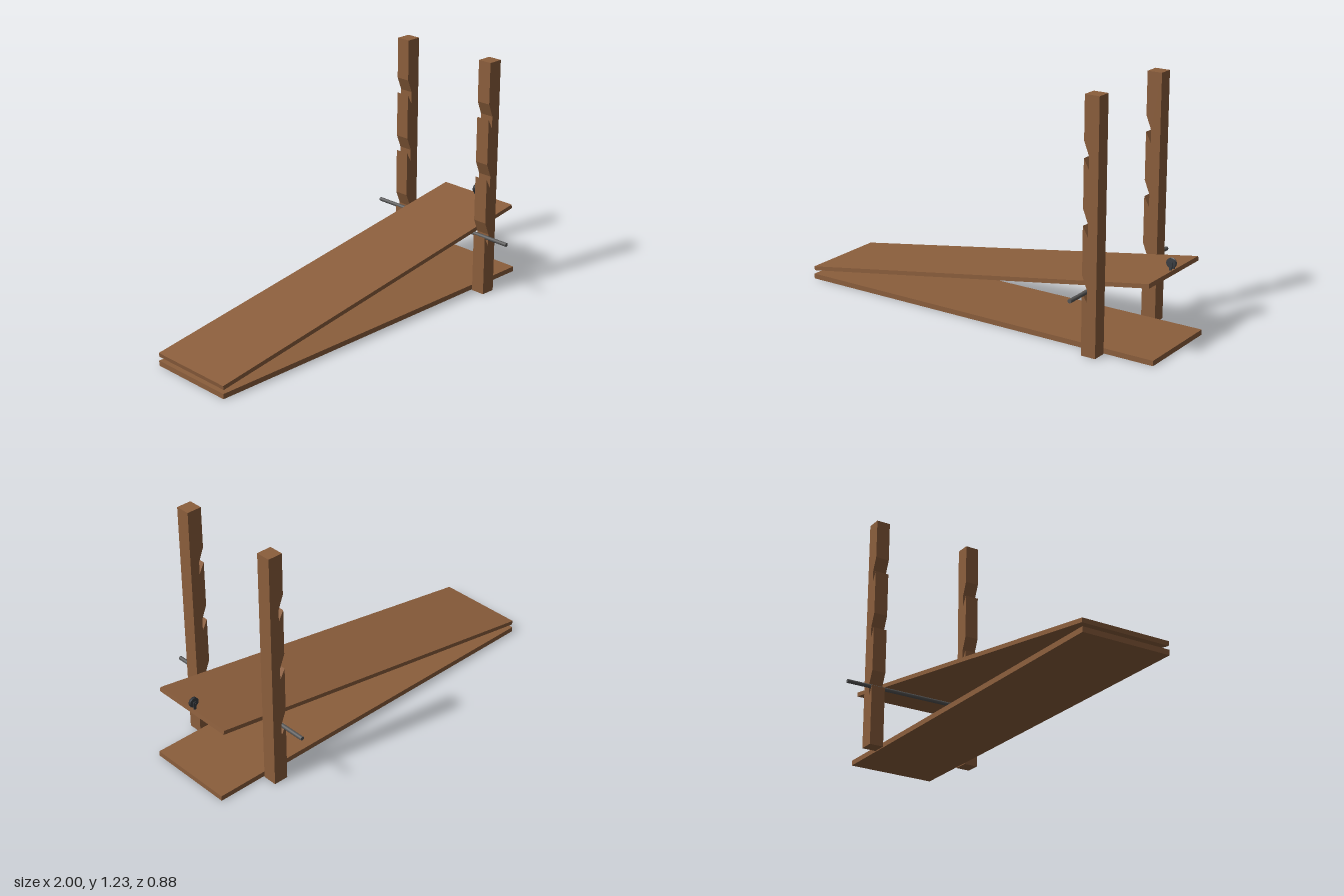
import * as THREE from 'three';

const wood = new THREE.MeshStandardMaterial({ color: 0x8b5e3c });
wood.name = 'wood';
const steel = new THREE.MeshStandardMaterial({ color: 0x555555 });
steel.name = 'steel';
const darkMetal = new THREE.MeshStandardMaterial({ color: 0x3a3d42 });
darkMetal.name = 'dark metal';

function add(parent, name, geometry, material, x = 0, y = 0, z = 0) {
  const mesh = new THREE.Mesh(geometry, material);
  mesh.name = name;
  mesh.position.set(x, y, z);
  parent.add(mesh);
  return mesh;
}

// Upright with three hooked notches cut into its -x edge
function postGeometry(depth) {
  const s = new THREE.Shape();
  s.moveTo(0.668, 0);
  for (const y of [0.31, 0.623, 0.937]) {
    s.lineTo(0.668, y);
    s.lineTo(0.695, y - 0.05);
    s.lineTo(0.695, y + 0.012);
    s.lineTo(0.668, y + 0.08);
  }
  s.lineTo(0.668, 1.228);
  s.lineTo(0.744, 1.228);
  s.lineTo(0.744, 0);
  return new THREE.ExtrudeGeometry(s, { depth, bevelEnabled: false });
}

export function createModel() {
  const model = new THREE.Group();
  model.name = 'inclinedPlane';

  // Boards
  add(model, 'baseBoard', new THREE.BoxGeometry(2, 0.026, 0.458), wood, 0, 0.013, 0);
  const ramp = add(model, 'rampBoard', new THREE.BoxGeometry(1.993, 0.021, 0.458), wood, -0.015, 0.2155, 0);
  ramp.rotation.z = Math.atan2(0.32, 1.967);

  // Posts
  const post = postGeometry(0.074);
  add(model, 'leftPost', post, wood, 0, 0, 0.235);
  add(model, 'rightPost', post, wood, 0, 0, -0.309);

  // Support rod
  const rod = add(model, 'supportRod', new THREE.CylinderGeometry(0.01, 0.01, 0.876, 20), steel, 0.684, 0.308, 0);
  rod.rotation.x = Math.PI / 2;

  // Grooved pulley wheel in its bracket
  const pulley = new THREE.Group();
  pulley.name = 'pulley';
  pulley.position.set(0.953, 0.416, 0);
  model.add(pulley);
  const profile = [[0, -0.007], [0.024, -0.007], [0.024, -0.005], [0.016, 0], [0.024, 0.005], [0.024, 0.007], [0, 0.007]];
  const wheel = add(pulley, 'pulleyWheel',
    new THREE.LatheGeometry(profile.map(([r, y]) => new THREE.Vector2(r, y)), 24), darkMetal);
  wheel.rotation.x = Math.PI / 2;
  const axle = add(pulley, 'pulleyAxle', new THREE.CylinderGeometry(0.004, 0.004, 0.034, 12), darkMetal);
  axle.rotation.x = Math.PI / 2;
  for (const side of [-1, 1]) {
    add(pulley, 'pulleyBracket', new THREE.BoxGeometry(0.014, 0.045, 0.005), darkMetal, 0.003, -0.014, side * 0.0125);
  }
  return model;
}
